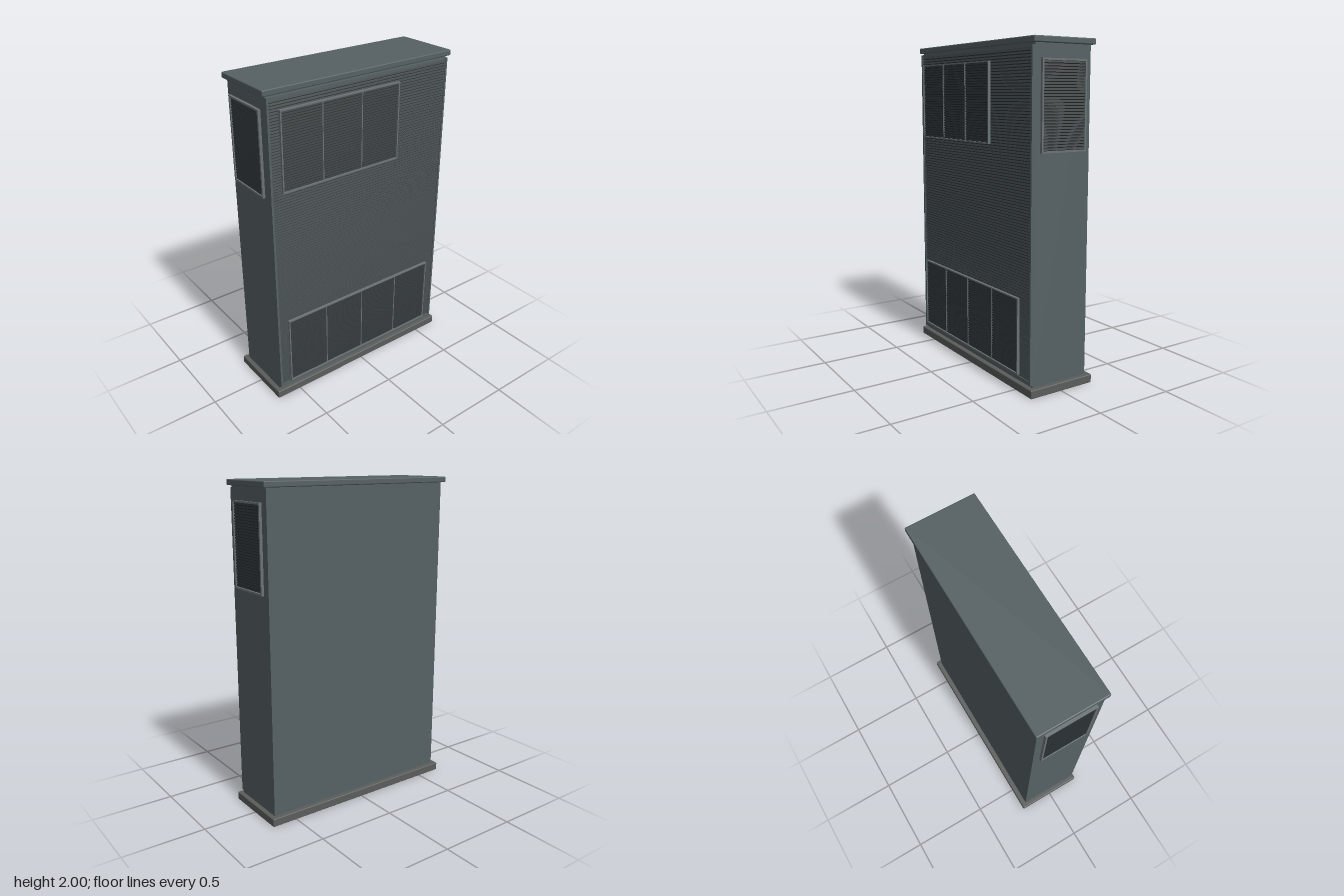
import * as THREE from 'three';
import { mergeGeometries } from 'three/addons/utils/BufferGeometryUtils.js';
import { RoundedBoxGeometry } from 'three/addons/geometries/RoundedBoxGeometry.js';

const mat = (color) => new THREE.MeshStandardMaterial({ color });
const shell = mat(0x566164);
const plinthGrey = mat(0x5a5d5b);
const slatGrey = mat(0x3a4143);
const ventDark = mat(0x252b2d);
const trim = mat(0x6b7375);

// Box given by its lower and upper limits on each axis
function block(x0, x1, y0, y1, z0, z1) {
  return new THREE.BoxGeometry(x1 - x0, y1 - y0, z1 - z0)
    .translate((x0 + x1) / 2, (y0 + y1) / 2, (z0 + z1) / 2);
}

function roundedBlock(x0, x1, y0, y1, z0, z1, r) {
  return new RoundedBoxGeometry(x1 - x0, y1 - y0, z1 - z0, 2, r)
    .translate((x0 + x1) / 2, (y0 + y1) / 2, (z0 + z1) / 2);
}

function add(parent, name, geometry, material) {
  const mesh = new THREE.Mesh(geometry, material);
  mesh.name = name;
  parent.add(mesh);
  return mesh;
}

// Evenly stacked louvre blades, each leaning outward at the bottom
function louvres(x0, x1, y0, y1, z, count, depth) {
  const pitch = (y1 - y0) / count;
  const blades = [];
  for (let i = 0; i < count; i++) {
    const blade = new THREE.BoxGeometry(x1 - x0, pitch * 0.75, depth * 0.4);
    blade.rotateX(-0.4);
    blade.translate((x0 + x1) / 2, y0 + (i + 0.5) * pitch, z);
    blades.push(blade);
  }
  return mergeGeometries(blades);
}

// Framed grille facing +z, split into equal bays
function grille(name, x0, x1, y0, y1, z0, bays, count, bar) {
  const g = new THREE.Group();
  g.name = name;
  const z1 = z0 + 0.016;
  add(g, 'grilleBacking', block(x0 + 0.002, x1 - 0.002, y0 + 0.002, y1 - 0.002, z0, z0 + 0.003), ventDark);
  add(g, 'grilleLouvres', louvres(x0 + bar, x1 - bar, y0 + bar, y1 - bar, z0 + 0.007, count, 0.012), ventDark);
  const bars = [
    block(x0, x1, y1 - bar, y1, z0, z1),
    block(x0, x1, y0, y0 + bar, z0, z1),
    block(x0, x0 + bar, y0 + bar, y1 - bar, z0, z1),
    block(x1 - bar, x1, y0 + bar, y1 - bar, z0, z1),
  ];
  for (let i = 1; i < bays; i++) {
    const x = x0 + (x1 - x0) * i / bays;
    bars.push(block(x - 0.003, x + 0.003, y0 + bar, y1 - bar, z0, z1 - 0.003));
  }
  add(g, 'grilleFrame', mergeGeometries(bars), trim);
  return g;
}

export function createModel() {
  const model = new THREE.Group();
  model.name = 'louvredCabinet';

  // Main shell, plinth and cap
  add(model, 'body', block(-0.635, 0.635, 0.05, 1.967, -0.193, 0.187), shell);
  add(model, 'plinth', roundedBlock(-0.663, 0.663, 0, 0.051, -0.225, 0.216, 0.006), plinthGrey);
  add(model, 'cap', roundedBlock(-0.658, 0.658, 1.966, 2, -0.214, 0.208, 0.006), shell);

  // Slim surround around the louvred front
  add(model, 'frontSurround', mergeGeometries([
    block(-0.635, -0.622, 0.065, 1.955, 0.187, 0.205),
    block(0.622, 0.635, 0.065, 1.955, 0.187, 0.205),
    block(-0.622, 0.622, 0.065, 0.088, 0.187, 0.203),
    block(-0.622, 0.622, 1.94, 1.955, 0.187, 0.203),
  ]), shell);

  // Full-height front louvres over a dark backing
  add(model, 'frontBacking', block(-0.622, 0.622, 0.088, 1.94, 0.186, 0.19), ventDark);
  add(model, 'frontLouvres', louvres(-0.622, 0.622, 0.088, 1.94, 0.197, 110, 0.018), slatGrey);

  // Front grilles
  model.add(grille('upperGrille', -0.572, 0.241, 1.41, 1.886, 0.214, 3, 30, 0.008));
  model.add(grille('lowerGrille', -0.572, 0.543, 0.108, 0.561, 0.214, 4, 28, 0.008));

  // One grille high on each end
  for (const side of [1, -1]) {
    const g = grille(side > 0 ? 'leftGrille' : 'rightGrille', -0.153, 0.153, 1.38, 1.886, 0.641, 1, 30, 0.011);
    g.rotation.y = side * Math.PI / 2;
    model.add(g);
  }
  return model;
}
